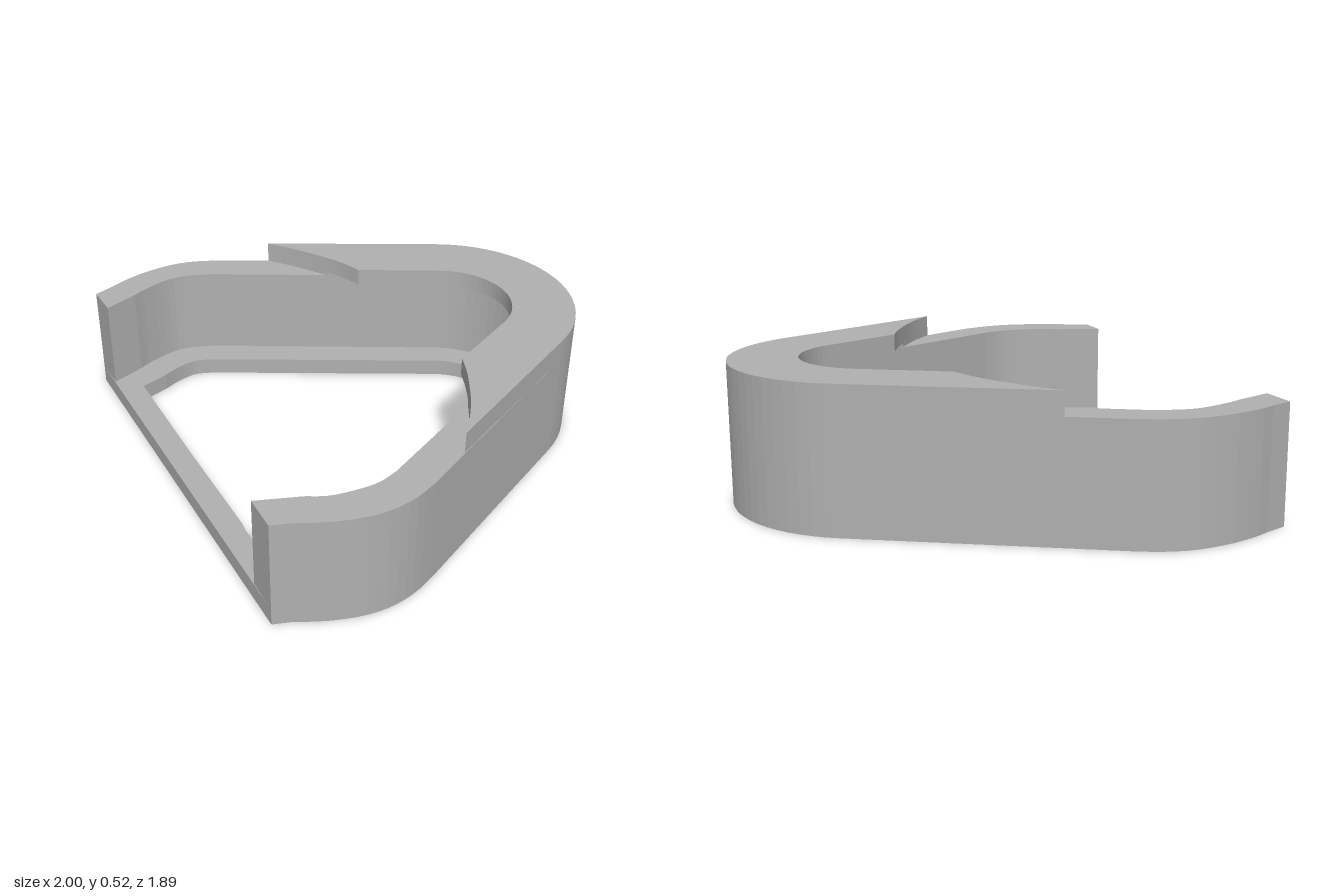
import * as THREE from 'three';

const v = (x, z) => new THREE.Vector2(x, -z);

// smooth rounded corner through a few plan points (x, z)
const bend = (pts, n = 14) => new THREE.SplineCurve(pts.map(([x, z]) => v(x, z))).getPoints(n);

// large rounded corner, concentric for every outline, running front to back
function nose(r, n = 24) {
  const pts = [];
  for (let i = 0; i <= n; i++) {
    const a = 0.53 + (-1.631 - 0.53) * i / n;
    pts.push(v(0.47 + r * Math.cos(a), -0.42 + r * Math.sin(a)));
  }
  return pts;
}

// slab of a plan shape between two heights
function slab(name, outline, y0, y1, material, hole) {
  const shape = new THREE.Shape(outline);
  if (hole) shape.holes.push(new THREE.Path(hole));
  const geo = new THREE.ExtrudeGeometry(shape, { depth: y1 - y0, bevelEnabled: false });
  geo.rotateX(-Math.PI / 2);
  geo.translate(0, y0, 0);
  const mesh = new THREE.Mesh(geo, material);
  mesh.name = name;
  return mesh;
}

export function createModel() {
  const group = new THREE.Group();
  group.name = 'housing';
  const grey = new THREE.MeshStandardMaterial({ color: 0xb0b0b0 });
  grey.name = 'grey';

  // outer outline, from the front end round to the left end of the open side
  const outer = [
    v(-0.105, 0.94),
    ...bend([[-0.04, 0.924], [0.08, 0.91], [0.2, 0.878], [0.3, 0.825], [0.38, 0.75], [0.44, 0.665]]),
    ...nose(0.53),
    ...bend([[-0.53, -0.89], [-0.62, -0.876], [-0.717, -0.84], [-0.82, -0.765], [-0.9, -0.68], [-0.945, -0.615]]),
    v(-1, -0.545),
  ];

  // inner face of the wall
  const middle = [
    v(-0.176, 0.817),
    ...bend([[0, 0.78], [0.085, 0.77], [0.19, 0.722], [0.25, 0.68], [0.3, 0.62]]),
    ...nose(0.39),
    ...bend([[-0.53, -0.76], [-0.636, -0.738], [-0.717, -0.695], [-0.797, -0.604], [-0.835, -0.545]]),
    v(-0.925, -0.428),
  ];

  // opening through the floor
  const opening = [
    v(-0.144, 0.69),
    ...bend([[0, 0.67], [0.075, 0.663], [0.139, 0.64], [0.19, 0.6], [0.24, 0.53]]),
    ...nose(0.277),
    ...bend([[-0.53, -0.64], [-0.61, -0.62], [-0.674, -0.56], [-0.717, -0.497]]),
    v(-0.797, -0.4), v(-0.733, -0.278), v(-0.717, -0.24), v(-0.68, -0.197),
    v(-0.258, 0.495), v(-0.24, 0.535), v(-0.198, 0.6),
  ];

  group.add(slab('floor', outer, 0, 0.07, grey, opening));
  group.add(slab('wall', [...outer, ...middle.slice().reverse()], 0.07, 0.435, grey));

  // raised lip over the large corner, ending in two curved steps
  const backStep = [[-0.3, -0.905], [-0.2, -0.867], [-0.11, -0.825], [-0.027, -0.782]];
  const frontStep = [[0.555, 0.2], [0.557, 0.3], [0.55, 0.4], [0.535, 0.5]];
  group.add(slab('lipSupport', [
    ...nose(0.53), ...bend(backStep), ...nose(0.39).reverse(), ...bend(frontStep),
  ], 0.435, 0.45, grey));
  group.add(slab('lip', [
    ...nose(0.53),
    ...bend([...backStep, [0.045, -0.735], [0.112, -0.68]]),
    ...nose(0.277).reverse(),
    ...bend([[0.533, 0.01], [0.548, 0.1], ...frontStep]),
  ], 0.45, 0.52, grey));

  return group;
}
